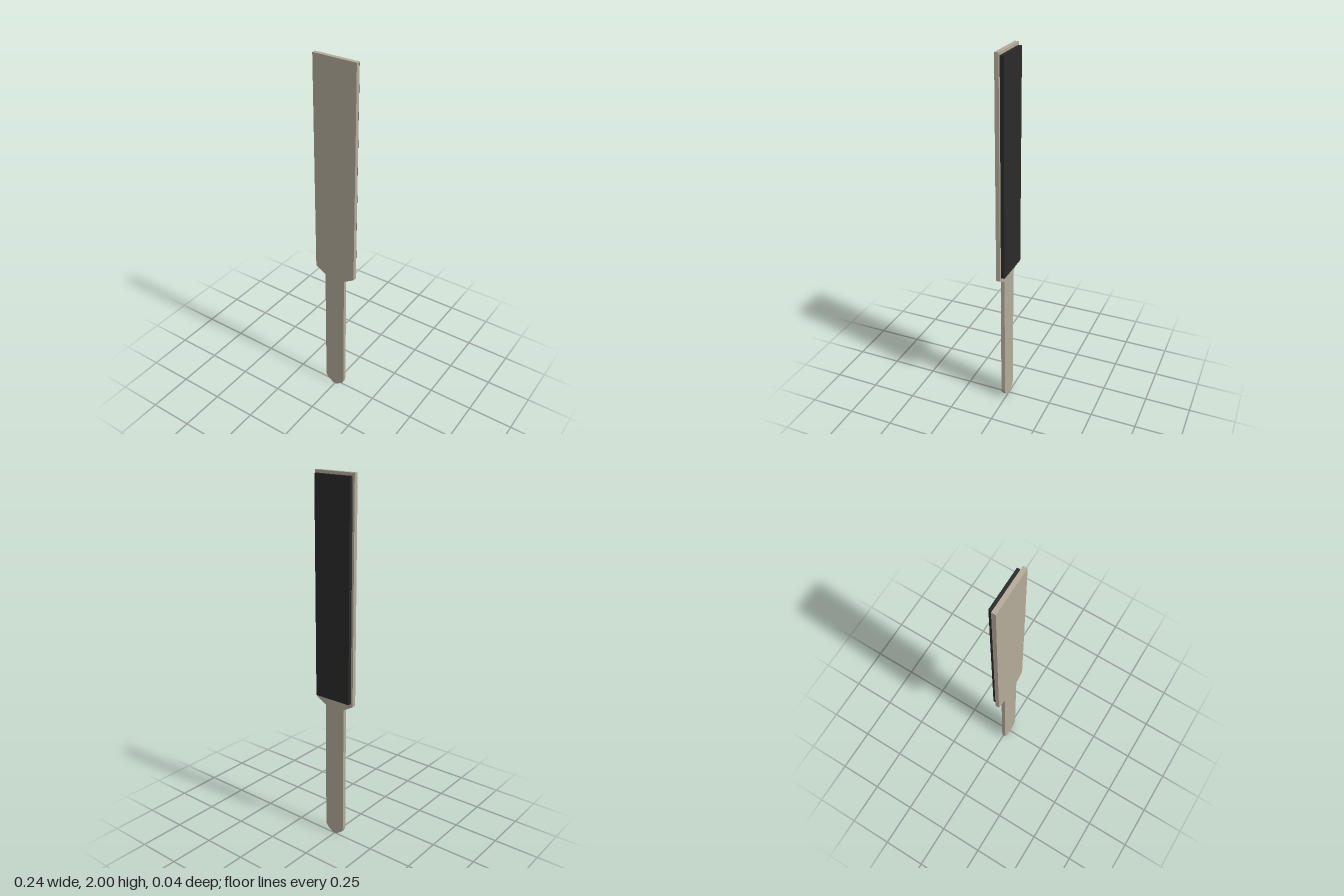
import * as THREE from 'three';

export function createModel() {
  const group = new THREE.Group();
  const wood = new THREE.MeshStandardMaterial({ color: 0xb4ab99, flatShading: true });
  wood.name = 'paleWood';
  const grit = new THREE.MeshStandardMaterial({ color: 0x2a2a2b, flatShading: true });
  grit.name = 'blackGrit';

  // Half outline from the handle tip up to the blade top, mirrored to the other side
  const half = [
    [0.01, 0], [0.047, 0.025], [0.057, 0.04], [0.06, 0.06],
    [0.06, 0.78], [0.12, 0.815], [0.12, 2],
  ];
  const mirrored = half.map(([x, y]) => [-x, y]).reverse();
  const outline = new THREE.Shape([...half, ...mirrored].map(([x, y]) => new THREE.Vector2(x, y)));

  // Flat board: blade and handle in one piece
  const boardGeometry = new THREE.ExtrudeGeometry(outline, { depth: 0.022, bevelEnabled: false });
  const board = new THREE.Mesh(boardGeometry, wood);
  board.name = 'paddleBoard';
  board.position.z = -0.001;
  group.add(board);

  // Dark pad fixed to the back of the blade
  const pad = new THREE.Mesh(new THREE.BoxGeometry(0.216, 1.155, 0.02), grit);
  pad.name = 'backPad';
  pad.position.set(0, 1.4075, -0.011);
  group.add(pad);

  return group;
}
